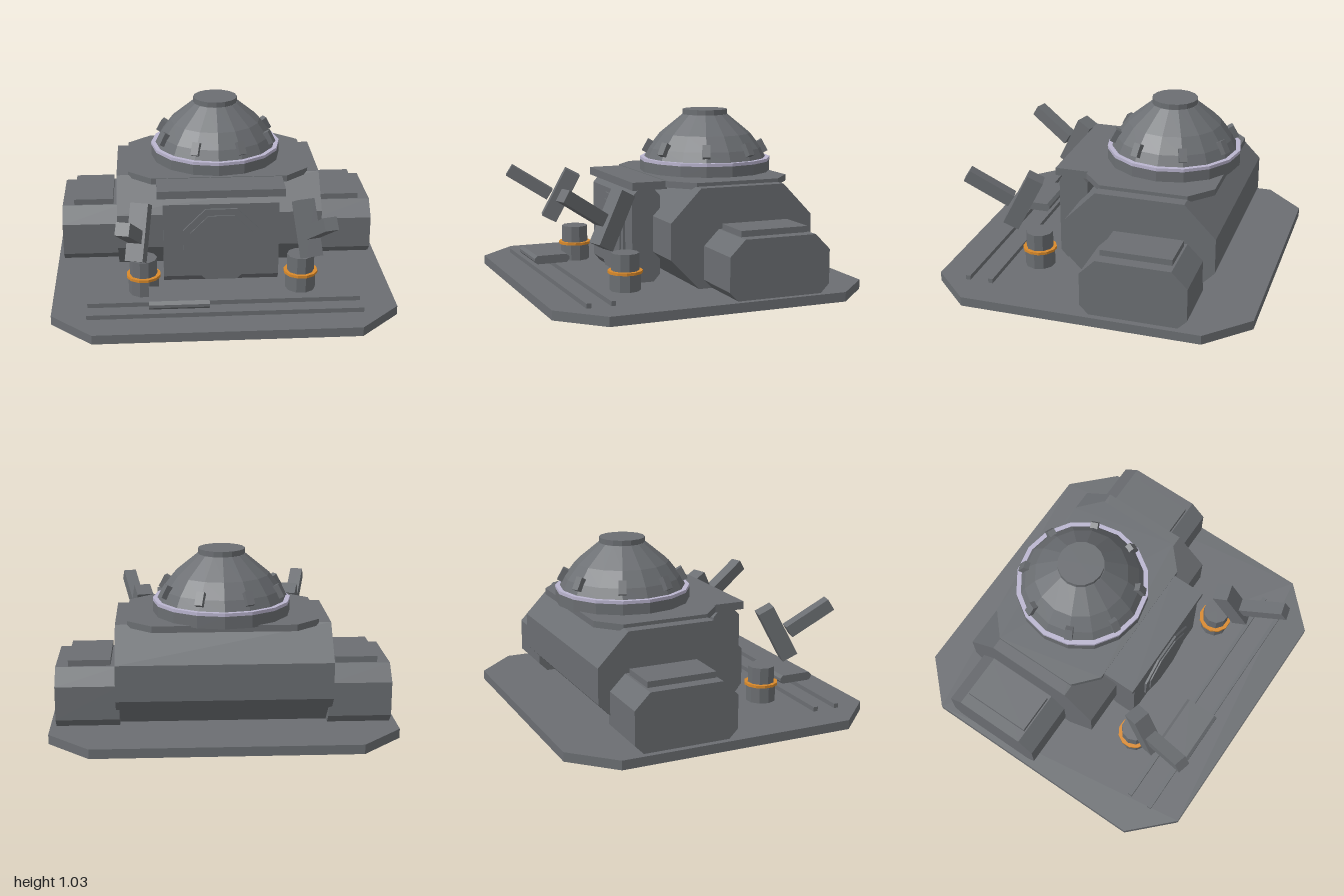
import * as THREE from 'three';

export function createModel() {
  const model = new THREE.Group();
  const paint = (name, color) => {
    const m = new THREE.MeshStandardMaterial({ color, flatShading: true });
    m.name = name;
    return m;
  };
  const grey = paint('hullGrey', 0x6b6e72);
  const orange = paint('signalOrange', 0xd8892b);
  const lilac = paint('paleLilac', 0xbab5cf);

  const add = (name, geometry, material = grey, parent = model) => {
    const mesh = new THREE.Mesh(geometry, material);
    mesh.name = name;
    parent.add(mesh);
    return mesh;
  };
  const box = (x0, x1, y0, y1, z0, z1) =>
    new THREE.BoxGeometry(x1 - x0, y1 - y0, z1 - z0)
      .translate((x0 + x1) / 2, (y0 + y1) / 2, (z0 + z1) / 2);
  // rectangle with four cut corners (cu, cv)
  const cutRect = (u0, u1, v0, v1, cu, cv = cu) => new THREE.Shape([
    [u0 + cu, v0], [u1 - cu, v0], [u1, v0 + cv], [u1, v1 - cv],
    [u1 - cu, v1], [u0 + cu, v1], [u0, v1 - cv], [u0, v0 + cv],
  ].map(([u, v]) => new THREE.Vector2(u, v)));
  const extrude = (shape, depth) =>
    new THREE.ExtrudeGeometry(shape, { depth, bevelEnabled: false });
  // cut-corner profile in z and y, running along x
  const prismX = (x0, x1, z0, z1, y0, y1, cz, cy) =>
    extrude(cutRect(-z1, -z0, y0, y1, cz, cy), x1 - x0).rotateY(Math.PI / 2).translate(x0, 0, 0);
  // outline in x and -z, rising in y
  const slab = (shape, y0, y1) => extrude(shape, y1 - y0).rotateX(-Math.PI / 2).translate(0, y0, 0);
  const drum = (r, y0, y1, sides) =>
    new THREE.CylinderGeometry(r, r, y1 - y0, sides).translate(0, (y0 + y1) / 2, 0);

  // Ground platform
  add('platform', slab(cutRect(-1, 1, -0.95, 0.95, 0.24), 0, 0.055));

  // Main hall and its roof deck
  add('mainHall', prismX(-0.62, 0.62, -0.69, 0.205, 0.045, 0.637, 0.185, 0.19));
  add('roofDeck', slab(cutRect(-0.55, 0.55, -0.14, 0.63, 0.14, 0.125), 0.62, 0.658));

  // Entrance block with lintel and octagonal door
  add('entranceBlock', prismX(-0.345, 0.345, 0.16, 0.335, 0.05, 0.615, 0.045, 0.05));
  add('lintel', box(-0.38, 0.38, 0.608, 0.655, 0.13, 0.345));
  const octagon = (r) => cutRect(-r, r, -r, r, r * 0.586);
  add('doorFrame', extrude(octagon(0.228), 0.03).translate(0, 0.308, 0.318));
  add('doorPanel', extrude(octagon(0.188), 0.03).translate(0, 0.308, 0.326));

  // Side pods with raised hatches
  for (const [side, s] of [['left', 1], ['right', -1]]) {
    const [a, b] = s > 0 ? [0.6, 0.965] : [-0.965, -0.6];
    add(side + 'Pod', prismX(a, b, -0.62, 0, 0.015, 0.397, 0.092, 0.092));
    const [c, d] = s > 0 ? [0.65, 0.893] : [-0.893, -0.65];
    add(side + 'PodHatch', box(c, d, 0.38, 0.432, -0.515, -0.1));
  }

  // Dome on its collar
  const dome = new THREE.Group();
  dome.name = 'dome';
  dome.position.z = -0.28;
  model.add(dome);
  add('domeCollar', drum(0.404, 0.65, 0.722, 16), grey, dome);
  add('domeStripe', drum(0.404, 0.722, 0.741, 16), lilac, dome);
  const profile = [[0.378, 0.738], [0.348, 0.8], [0.28, 0.888], [0.14, 1.003], [0, 1.01]]
    .map(([r, y]) => new THREE.Vector2(r, y));
  add('domeShell', new THREE.LatheGeometry(profile, 16), grey, dome);
  add('domeCap', drum(0.137, 0.99, 1.035, 16), grey, dome);
  for (let i = 0; i < 8; i++) {
    const pivot = new THREE.Group();
    pivot.name = 'domeClamp';
    pivot.rotation.y = (i + 0.5) * Math.PI / 4;
    dome.add(pivot);
    const clamp = add('clampBlock', new THREE.BoxGeometry(0.046, 0.08, 0.045), grey, pivot);
    clamp.position.set(0, 0.803, 0.352);
    clamp.rotation.x = -0.5;
  }

  // Loading cranes: turret post, orange ring and two arm segments
  for (const [side, s] of [['left', 1], ['right', -1]]) {
    const crane = new THREE.Group();
    crane.name = side + 'Crane';
    crane.position.set(s * 0.467, 0, 0.425);
    crane.rotation.y = s * 0.26;
    model.add(crane);
    add('craneBase', drum(0.09, 0.05, 0.155, 10), grey, crane);
    add('craneRing', drum(0.102, 0.155, 0.171, 12), orange, crane);
    add('cranePost', drum(0.081, 0.171, 0.272, 10), grey, crane);
    const lower = add('lowerArm', new THREE.BoxGeometry(0.105, 0.335, 0.1), grey, crane);
    lower.position.set(0, 0.472, 0.087);
    lower.rotation.x = -0.48;
    const upper = add('upperArm', new THREE.BoxGeometry(0.08, 0.075, 0.3), grey, crane);
    upper.position.set(0, 0.558, 0.285);
    upper.rotation.x = -0.56;
  }

  // Track rails and hovering sled
  for (const z of [0.613, 0.755]) add('rail', box(-0.795, 0.795, 0.05, 0.082, z - 0.014, z + 0.014));
  add('sled', prismX(-0.438, -0.095, 0.58, 0.798, 0.117, 0.168, 0.017, 0.017));

  return model;
}
